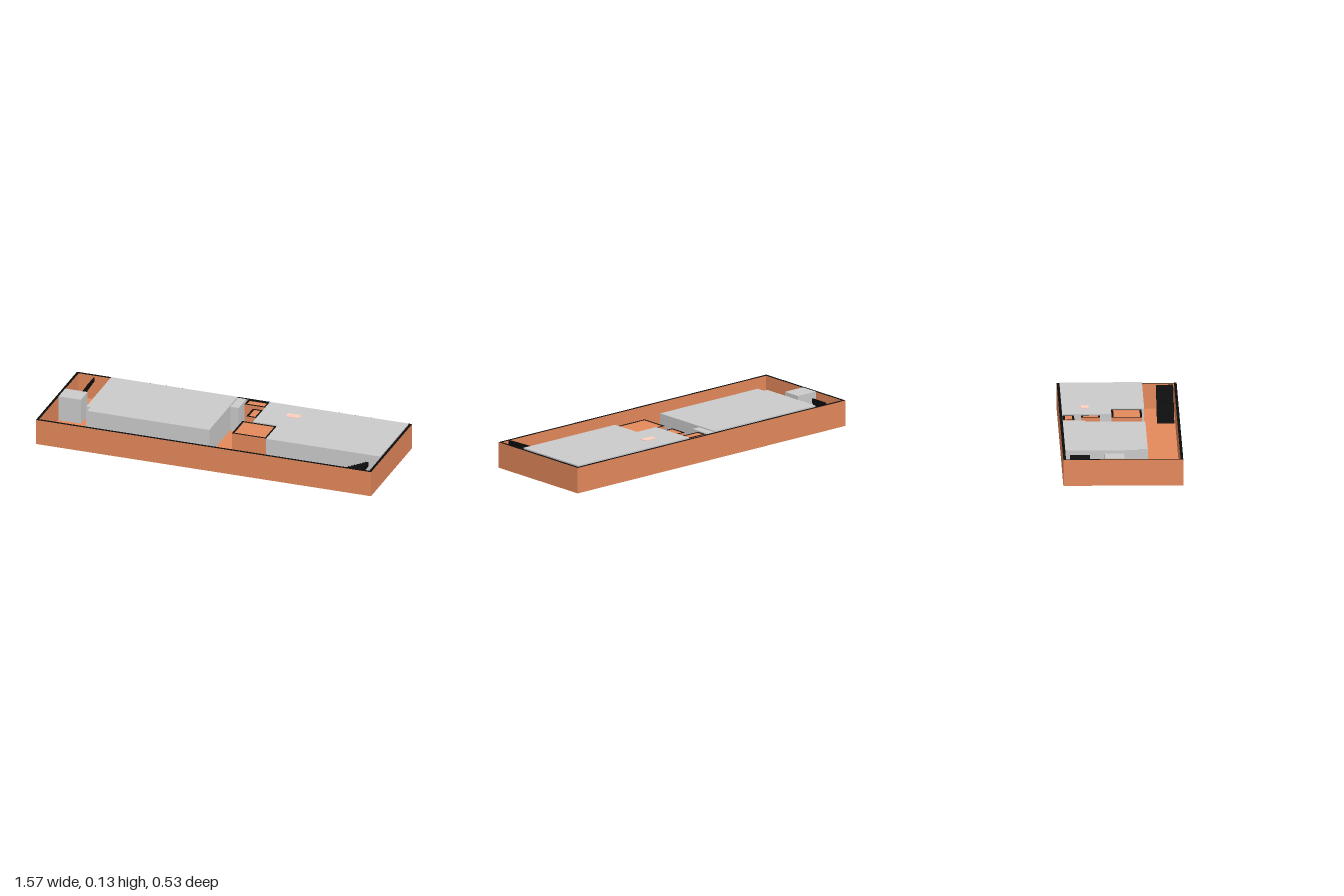
import * as THREE from 'three';

const grey = new THREE.MeshStandardMaterial({ color: 0xcccccc });
const orange = new THREE.MeshStandardMaterial({ color: 0xe5895b });
const pale = new THREE.MeshStandardMaterial({ color: 0xffd0c0 });
const black = new THREE.MeshStandardMaterial({ color: 0x0c0c0c });

// Box given by its limits on each axis
function box(parent, name, mat, x0, x1, y0, y1, z0, z1) {
  const mesh = new THREE.Mesh(new THREE.BoxGeometry(x1 - x0, y1 - y0, z1 - z0), mat);
  mesh.position.set((x0 + x1) / 2, (y0 + y1) / 2, (z0 + z1) / 2);
  mesh.name = name;
  parent.add(mesh);
}

// Upright extrusion of a floor shape drawn in x and -z
function extrude(parent, name, mat, shape, y0, y1) {
  const geo = new THREE.ExtrudeGeometry(shape, { depth: y1 - y0, bevelEnabled: false });
  geo.rotateX(-Math.PI / 2);
  const mesh = new THREE.Mesh(geo, mat);
  mesh.position.y = y0;
  mesh.name = name;
  parent.add(mesh);
}

// Solid block from a floor outline of [x, z] points
function prism(parent, name, mat, outline, y0, y1) {
  extrude(parent, name, mat, new THREE.Shape(outline.map(([x, z]) => new THREE.Vector2(x, -z))), y0, y1);
}

// Four thin walls around a rectangle, with a black top edge
function walls(parent, name, x0, x1, y0, y1, z0, z1, t) {
  const rect = (a, b, c, d) => [[a, -d], [b, -d], [b, -c], [a, -c]].map(p => new THREE.Vector2(...p));
  const shape = new THREE.Shape(rect(x0, x1, z0, z1));
  shape.holes.push(new THREE.Path(rect(x0 + t, x1 - t, z0 + t, z1 - t).reverse()));
  extrude(parent, name, [black, orange], shape, y0, y1);
}

// Straight flight of thin steps rising along +x
function stairs(parent, name, x0, x1, z0, z1, y0, y1, n) {
  const group = new THREE.Group();
  group.name = name;
  const run = (x1 - x0) / n, rise = (y1 - y0) / n;
  for (let i = 0; i < n; i++) {
    const top = y0 + rise * (i + 1);
    box(group, 'step', black, x0 + run * i, x0 + run * (i + 1), Math.max(y0, top - 0.02), top, z0, z1);
  }
  parent.add(group);
}

export function createModel() {
  const model = new THREE.Group();
  model.name = 'floorPlan';

  // Floor and outer walls
  box(model, 'floor', orange, -0.57, 1, 0.003, 0.006, -0.231, 0.297);
  walls(model, 'outerWalls', -0.57, 1, 0.006, 0.12, -0.231, 0.297, 0.012);

  // Large hall blocks
  prism(model, 'rightHall', grey, [[-0.405, -0.219], [0.187, -0.219], [0.187, 0.144],
    [-0.385, 0.144], [-0.385, 0.104], [-0.405, 0.104]], 0.006, 0.126);
  prism(model, 'leftHall', grey, [[0.338, -0.219], [0.988, -0.219], [0.988, 0.144],
    [0.452, 0.144], [0.452, -0.003], [0.338, -0.003]], 0.006, 0.126);
  box(model, 'roofHatch', pale, 0.455, 0.518, 0.126, 0.128, -0.135, -0.1);

  // Small grey blocks
  box(model, 'sideBlock', grey, -0.558, -0.453, 0.006, 0.122, -0.047, 0.039);
  box(model, 'shaftBlock', grey, 0.189, 0.228, 0.006, 0.122, -0.219, -0.12);
  box(model, 'cornerPost', grey, -0.537, -0.512, 0.001, 0.035, 0.232, 0.26);

  // Small walled rooms
  const rooms = [[0.288, 0.45, -0.002, 0.132], [0.238, 0.337, -0.217, -0.167], [0.288, 0.336, -0.137, -0.053]];
  for (const [x0, x1, z0, z1] of rooms) {
    walls(model, 'roomWalls', x0, x1, 0.006, 0.121, z0, z1, 0.009);
    box(model, 'roomCeiling', orange, x0 + 0.009, x1 - 0.009, 0.112, 0.119, z0 + 0.009, z1 - 0.009);
  }

  // Staircases
  stairs(model, 'frontStairs', 0.685, 0.955, 0.205, 0.281, 0.006, 0.121, 20);
  stairs(model, 'backStairs', -0.55, -0.477, -0.2, -0.112, 0.006, 0.121, 18);

  // Plates under the floor
  prism(model, 'longUnderPlate', grey, [[0.297, 0.174], [0.297, 0.266], [-0.44, 0.234], [-0.444, 0.133]], 0.0022, 0.003);
  prism(model, 'smallUnderPlate', grey, [[0.505, -0.122], [0.39, -0.031], [0.35, -0.045], [0.338, -0.089],
    [0.375, -0.13], [0.455, -0.15], [0.42, -0.1]], 0, 0.003);
  return model;
}
